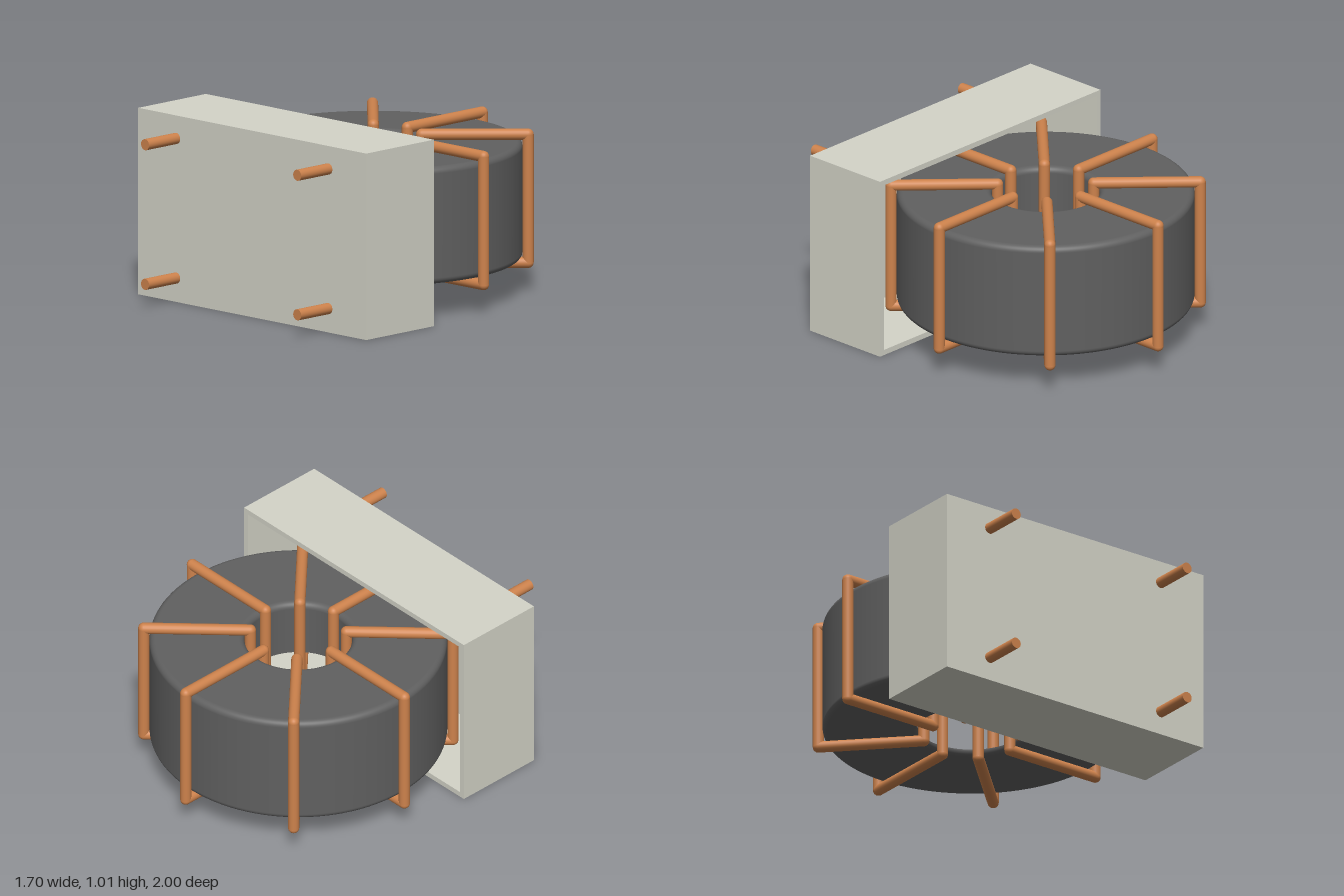
import * as THREE from 'three';

const MID_Y = 0.505;   // height of the core's middle plane
const CORE_Z = -0.15;  // position of the core's axis
const WIRE_R = 0.03;

const material = (color) => new THREE.MeshStandardMaterial({ color });

function addMesh(parent, name, geometry, mat, x = 0, y = 0, z = 0) {
  const mesh = new THREE.Mesh(geometry, mat);
  mesh.name = name;
  mesh.position.set(x, y, z);
  parent.add(mesh);
  return mesh;
}

// Ring with a rectangular, round-edged section, turned about y
function coreGeometry(inner, outer, height, fillet) {
  const h = height / 2, q = Math.PI / 2;
  const section = new THREE.Path();
  section.moveTo(inner, 0);
  const corners = [[inner, -h, 1, 1], [outer, -h, -1, 1], [outer, h, -1, -1], [inner, h, 1, -1]];
  corners.forEach(([x, y, sx, sy], i) => {
    section.absarc(x + sx * fillet, y + sy * fillet, fillet, (i + 2) * q, (i + 3) * q, false);
  });
  section.lineTo(inner, 0);
  return new THREE.LatheGeometry(section.getPoints(8), 96);
}

// One rectangular turn of wire in the xy plane, round at its corners
function wireTurn(mat) {
  const inner = 0.255, outer = 0.82, halfHeight = 0.347;
  const turn = new THREE.Group();
  turn.name = 'wireTurn';
  const upright = new THREE.CapsuleGeometry(WIRE_R, 2 * halfHeight, 6, 20);
  const radial = new THREE.CapsuleGeometry(WIRE_R, outer - inner, 6, 20).rotateZ(Math.PI / 2);
  addMesh(turn, 'innerUpright', upright, mat, inner);
  addMesh(turn, 'outerUpright', upright, mat, outer);
  addMesh(turn, 'topRun', radial, mat, (inner + outer) / 2, halfHeight);
  addMesh(turn, 'bottomRun', radial, mat, (inner + outer) / 2, -halfHeight);
  return turn;
}

// Rectangular tray, open at the back
function addHousing(parent, mat) {
  const w = 1.7, h = 1.01, wall = 0.03, back = 0.255, front = 0.765;
  const housing = new THREE.Group();
  housing.name = 'housing';
  const rect = (Type, a, b) => new Type([[-a, -b], [a, -b], [a, b], [-a, b]].map((p) => new THREE.Vector2(...p)));
  const frame = rect(THREE.Shape, w / 2, h / 2);
  frame.holes.push(rect(THREE.Path, w / 2 - wall, h / 2 - wall));
  const sides = new THREE.ExtrudeGeometry(frame, { depth: front - wall - back, bevelEnabled: false });
  addMesh(housing, 'housingSides', sides, mat, 0, h / 2, back);
  addMesh(housing, 'housingFront', new THREE.BoxGeometry(w, h, wall), mat, 0, h / 2, front - wall / 2);
  parent.add(housing);
}

export function createModel() {
  const model = new THREE.Group();
  model.name = 'toroidalInductor';
  const ferrite = material(0x606060);
  const copper = material(0xcd824c);
  const plastic = material(0xd4d4c8);

  addMesh(model, 'core', coreGeometry(0.285, 0.79, 0.635, 0.035), ferrite, 0, MID_Y + 0.003, CORE_Z);

  // Eight turns spaced evenly around the core
  const winding = new THREE.Group();
  winding.name = 'winding';
  winding.position.set(0, MID_Y + 0.003, CORE_Z);
  for (let i = 0; i < 8; i++) {
    const turn = wireTurn(copper);
    turn.rotation.y = (i * Math.PI) / 4;
    winding.add(turn);
  }
  model.add(winding);

  addHousing(model, plastic);

  // Four pins through the front of the housing
  const pin = new THREE.CylinderGeometry(WIRE_R, WIRE_R, 0.26, 24).rotateX(Math.PI / 2);
  for (const x of [-0.567, 0.567]) {
    for (const y of [0.13, 0.886]) addMesh(model, 'pin', pin, copper, x, y, 0.87);
  }
  return model;
}
